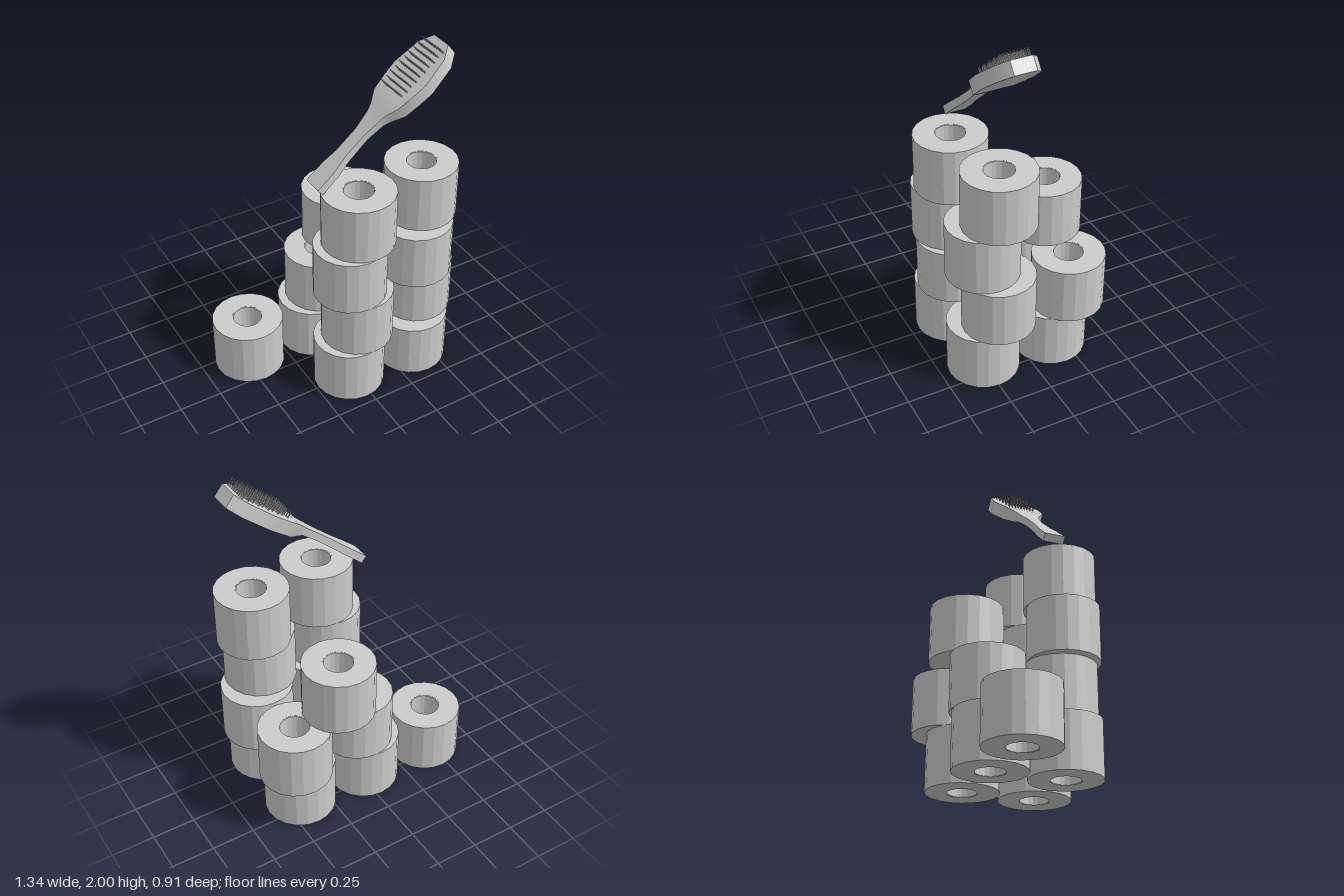
import * as THREE from 'three';
import { toCreasedNormals } from 'three/addons/utils/BufferGeometryUtils.js';

const grey = new THREE.MeshStandardMaterial({ color: 0xcccccc });
const faceted = new THREE.MeshStandardMaterial({ color: 0xcccccc, flatShading: true });

// Closed ring with a square profile
function ringGeometry(inner, outer, height) {
  const profile = [[inner, 0], [outer, 0], [outer, height], [inner, height], [inner, 0]];
  return new THREE.LatheGeometry(profile.map(([r, y]) => new THREE.Vector2(r, y)), 20);
}

// Loft of rectangular sections along x: [x, half width, bottom, top]
function loftGeometry(sections) {
  const points = [], faces = [];
  sections.forEach(([x, w, b, t], i) => {
    points.push(x, b, -w, x, t, -w, x, t, w, x, b, w);
    if (i === sections.length - 1) return;
    for (let j = 0; j < 4; j++) {
      const a = i * 4 + j, n = i * 4 + (j + 1) % 4;
      faces.push(a, n, a + 4, n, n + 4, a + 4);
    }
  });
  const e = (sections.length - 1) * 4;
  faces.push(0, 2, 1, 0, 3, 2, e, e + 1, e + 2, e, e + 2, e + 3);
  const geometry = new THREE.BufferGeometry();
  geometry.setAttribute('position', new THREE.Float32BufferAttribute(points, 3));
  geometry.setIndex(faces);
  return toCreasedNormals(geometry, 0.6);
}

function createBrush() {
  const brush = new THREE.Group();
  brush.name = 'brush';

  // Waisted handle flowing into a thick oval head
  const body = new THREE.Mesh(loftGeometry([
    [0, 0.06, 0, 0.047],
    [0.13, 0.058, 0.004, 0.048],
    [0.22, 0.043, 0.007, 0.05],
    [0.37, 0.041, 0.013, 0.054],
    [0.48, 0.06, 0.014, 0.058],
    [0.52, 0.072, 0.003, 0.064],
    [0.59, 0.117, -0.003, 0.074],
    [0.68, 0.135, -0.004, 0.073],
    [0.77, 0.146, -0.005, 0.072],
    [0.93, 0.118, -0.008, 0.07],
    [1.006, 0.062, -0.009, 0.069],
  ]), grey);
  body.name = 'brushBody';
  brush.add(body);

  // Staggered bristles standing on the head
  const bristles = new THREE.Group();
  bristles.name = 'bristles';
  const bristle = new THREE.CylinderGeometry(0.003, 0.004, 0.05, 5);
  for (let i = 0; i < 10; i++) {
    for (let j = 0; j < 9; j++) {
      const pin = new THREE.Mesh(bristle, grey);
      pin.name = 'bristle';
      pin.position.set(0.65 + i * 0.034, 0.092, (j - 4) * 0.019 + (i % 2 ? 0.004 : -0.004));
      bristles.add(pin);
    }
  }
  brush.add(bristles);

  brush.position.set(-0.167, 1.317, 0.128);
  brush.rotation.z = THREE.MathUtils.degToRad(38.3);
  return brush;
}

export function createModel() {
  const model = new THREE.Group();
  model.name = 'rollStackWithBrush';

  // Roll centres [x, z], layer by layer from the ground
  const layers = [
    [[-0.465, -0.18], [-0.03, -0.18], [0.4, -0.18], [-0.03, 0.245], [0.4, 0.245]],
    [[0.02, -0.18], [0.46, -0.25], [0.02, 0.245], [0.46, 0.18]],
    [[-0.03, 0.245], [0.4, 0.245], [0.18, -0.25]],
    [[0.02, 0.245], [0.46, 0.18]],
  ];
  const paper = ringGeometry(0.088, 0.206, 0.327);
  const core = ringGeometry(0.082, 0.09, 0.325);
  layers.forEach((centres, level) => {
    for (const [x, z] of centres) {
      const roll = new THREE.Group();
      roll.name = 'roll';
      const paperMesh = new THREE.Mesh(paper, faceted);
      paperMesh.name = 'paper';
      const coreMesh = new THREE.Mesh(core, faceted);
      coreMesh.name = 'cardboardCore';
      coreMesh.position.y = 0.001;
      roll.add(paperMesh, coreMesh);
      roll.position.set(x, level * 0.33, z);
      model.add(roll);
    }
  });

  model.add(createBrush());
  return model;
}
